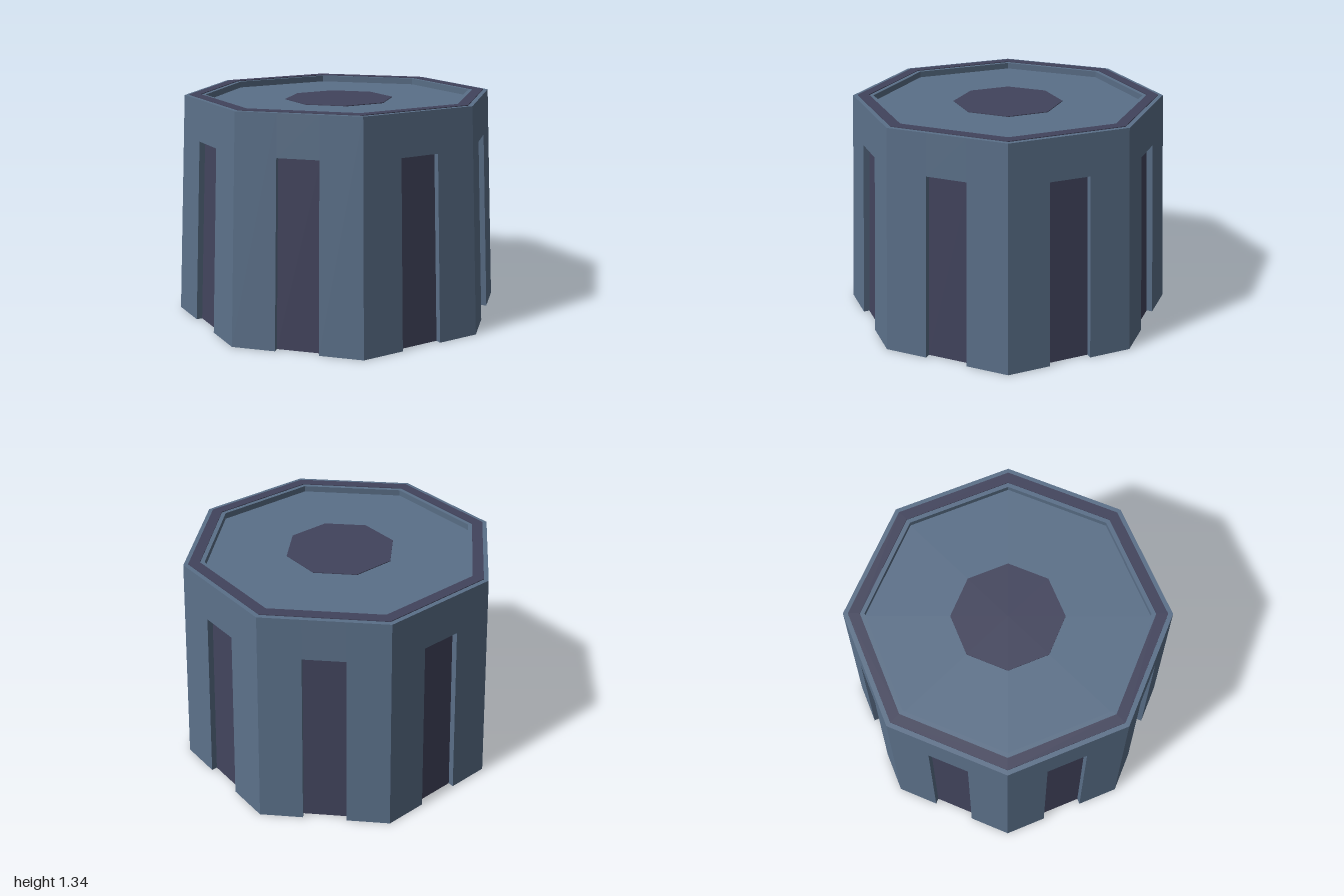
import * as THREE from 'three';

const H = 1.333, PANEL_TOP = 1.09, LIP = 0.04, CEILING = 1.27, LID = 1.295;
const STEP = 0.035, THICK = 0.02, RIM = 0.045;
const HALF = Math.PI / 8;

// Point on side k: t runs 0..1 across the side, d is the inset from the outer face
function point(k, t, y, d) {
  const r = 1 - 0.0525 * y;
  const z = r * Math.cos(HALF) - d;
  const max = z * Math.tan(HALF);
  const x = THREE.MathUtils.clamp((2 * t - 1) * r * Math.sin(HALF), -max, max);
  return new THREE.Vector3(x, y, z).applyAxisAngle(new THREE.Vector3(0, 1, 0), (2 * k + 1) * HALF);
}

// Builds one mesh by repeating a set of quads on all eight sides
function ring(name, material, build) {
  const pos = [];
  for (let k = 0; k < 8; k++) {
    const quad = (...corners) => {
      const [a, b, c, d] = corners.map(([t, y, inset]) => point(k, t, y, inset));
      for (const p of [a, b, c, a, c, d]) pos.push(p.x, p.y, p.z);
    };
    build(quad);
  }
  const g = new THREE.BufferGeometry();
  g.setAttribute('position', new THREE.Float32BufferAttribute(pos, 3));
  g.computeVertexNormals();
  const mesh = new THREE.Mesh(g, material);
  mesh.name = name;
  return mesh;
}

// Upright patches facing outward and inward, at inset d
const outward = (q, t0, t1, y0, y1, d) =>
  q([t0, y0, d], [t1, y0, d], [t1, y1, d], [t0, y1, d]);
const inward = (q, t0, t1, y0, y1, d) =>
  q([t1, y0, d], [t0, y0, d], [t0, y1, d], [t1, y1, d]);
// Flat bands facing down or up, from inset d0 to the deeper inset d1
const down = (q, t0, t1, y, d0, d1) => q([t0, y, d1], [t1, y, d1], [t1, y, d0], [t0, y, d0]);
const up = (q, t0, t1, y, d0, d1) => q([t0, y, d0], [t1, y, d0], [t1, y, d1], [t0, y, d1]);
// Upright step facing along the side (+t), or against it when flipped
const step = (q, t, y0, y1, d0, d1, flip) => {
  const c = [[t, y0, d0], [t, y0, d1], [t, y1, d1], [t, y1, d0]];
  q(...(flip ? c.reverse() : c));
};

export function createModel() {
  const group = new THREE.Group();
  const blue = new THREE.MeshStandardMaterial({ color: 0x5a6f88 });
  blue.name = 'slateBlue';
  const purple = new THREE.MeshStandardMaterial({ color: 0x41435c });
  purple.name = 'darkPurple';
  const A = 1 / 3, B = 2 / 3;

  // Tapered outer wall with a tall recess in every side
  group.add(ring('outerWall', blue, q => {
    outward(q, 0, A, 0, H, 0);
    outward(q, B, 1, 0, H, 0);
    outward(q, A, B, PANEL_TOP, H, 0);
    step(q, A, 0, PANEL_TOP, 0, STEP, false);
    step(q, B, 0, PANEL_TOP, 0, STEP, true);
    down(q, A, B, PANEL_TOP, 0, STEP);
  }));
  group.add(ring('outerPanels', purple, q => outward(q, A, B, 0, PANEL_TOP, STEP)));

  // Hollow inside, where the panels stand proud of the thin wall
  group.add(ring('innerWall', blue, q => {
    inward(q, 0, A, LIP, CEILING, THICK);
    inward(q, B, 1, LIP, CEILING, THICK);
    inward(q, A, B, PANEL_TOP, CEILING, THICK);
    step(q, A, LIP, PANEL_TOP, THICK, THICK + STEP, true);
    step(q, B, LIP, PANEL_TOP, THICK, THICK + STEP, false);
    up(q, A, B, PANEL_TOP, THICK, THICK + STEP);
  }));
  group.add(ring('innerPanels', purple, q => inward(q, A, B, LIP, PANEL_TOP, THICK + STEP)));

  // Thicker lip around the open bottom, following the recesses
  group.add(ring('bottomLip', blue, q => {
    for (const [t0, t1, d] of [[0, A, 0], [A, B, STEP], [B, 1, 0]]) {
      down(q, t0, t1, 0, d, d + RIM);
      inward(q, t0, t1, 0, LIP, d + RIM);
      up(q, t0, t1, LIP, d + THICK, d + RIM);
    }
    step(q, A, 0, LIP, RIM, RIM + STEP, true);
    step(q, B, 0, LIP, RIM, RIM + STEP, false);
  }));

  // Flat top rim with an upright drop to the lid, and a thin dark band laid on it
  const BAND = H + 0.004;
  group.add(ring('topRim', blue, q => {
    up(q, 0, 1, H, 0, 0.113);
    inward(q, 0, 1, LID, H, 0.113);
  }));
  group.add(ring('topBand', purple, q => {
    up(q, 0, 1, BAND, 0.026, 0.088);
    outward(q, 0, 1, H, BAND, 0.026);
    inward(q, 0, 1, H, BAND, 0.088);
  }));

  // Lid and its central plate
  const octagon = (name, material, r, y0, y1) => {
    const mesh = new THREE.Mesh(new THREE.CylinderGeometry(r, r, y1 - y0, 8).toNonIndexed(), material);
    mesh.geometry.computeVertexNormals();
    mesh.position.y = (y0 + y1) / 2;
    mesh.name = name;
    group.add(mesh);
  };
  octagon('lid', blue, 0.912, CEILING, LID);
  octagon('lidCentre', purple, 0.327, LID - 0.004, LID + 0.004);

  return group;
}
